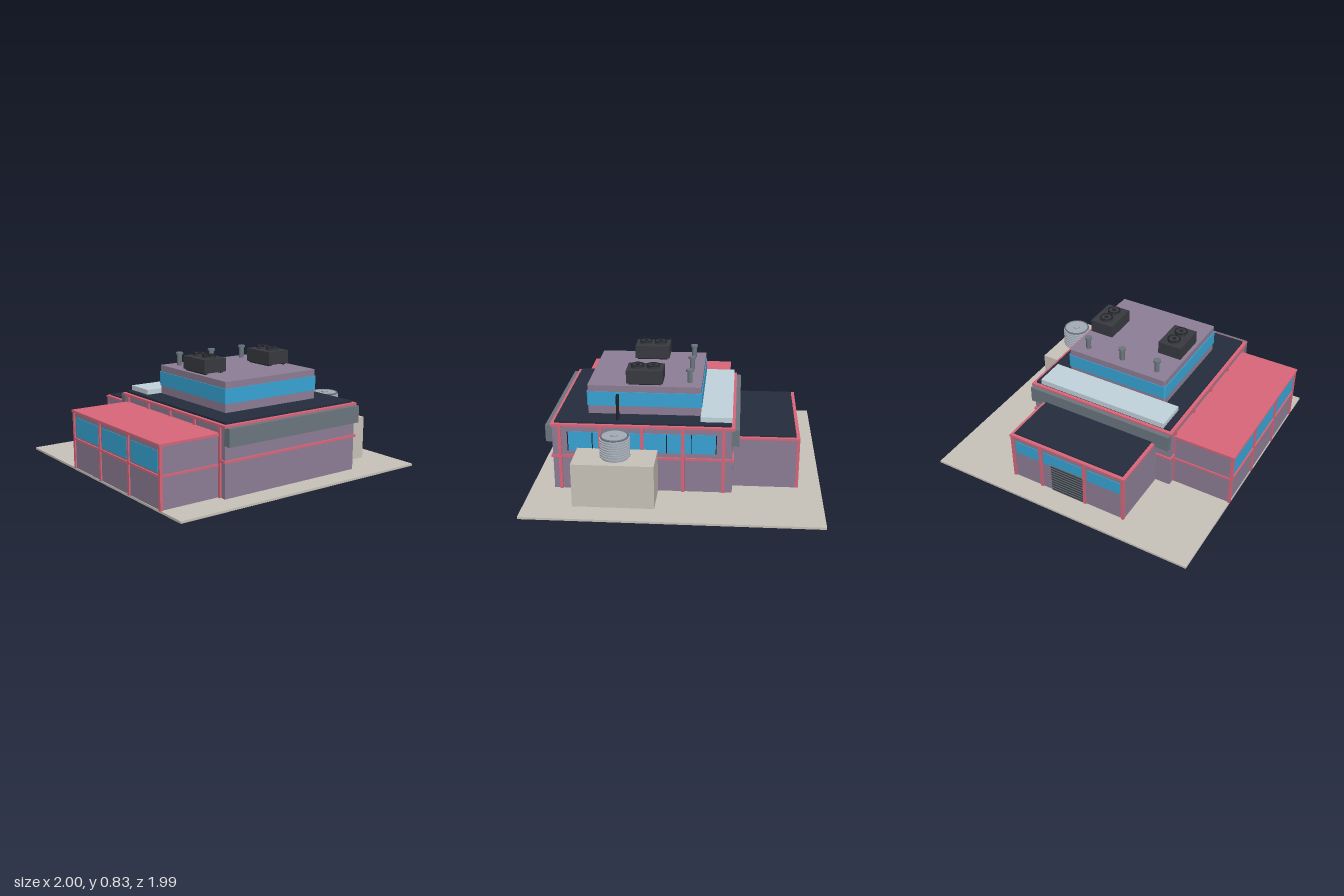
import * as THREE from 'three';

const mat = (color) => new THREE.MeshStandardMaterial({ color });

export function createModel() {
  const root = new THREE.Group();
  const wall = mat(0x8d7e96), red = mat(0xd9667a), navy = mat(0x252d3f), glass = mat(0x38a5d6);
  const slate = mat(0x6c767f), stone = mat(0xc8c2b9), dark = mat(0x383a40), pale = mat(0xc2d3dc);
  const steel = mat(0xa4abb5), black = mat(0x202328);

  // Box given by its extents on each axis
  function box(name, m, x0, x1, y0, y1, z0, z1, parent = root) {
    const mesh = new THREE.Mesh(new THREE.BoxGeometry(x1 - x0, y1 - y0, z1 - z0), m);
    mesh.position.set((x0 + x1) / 2, (y0 + y1) / 2, (z0 + z1) / 2);
    mesh.name = name;
    parent.add(mesh);
    return mesh;
  }
  function cyl(name, m, r, x, y0, y1, z, parent = root) {
    const mesh = new THREE.Mesh(new THREE.CylinderGeometry(r, r, y1 - y0, 24), m);
    mesh.position.set(x, (y0 + y1) / 2, z);
    mesh.name = name;
    parent.add(mesh);
    return mesh;
  }
  function group(name) {
    const g = new THREE.Group();
    g.name = name;
    root.add(g);
    return g;
  }

  box('ground', stone, -0.99, 1, 0, 0.015, -1, 0.99);

  // Main hall: walls, trim, coping and roof
  const hall = group('mainHall');
  box('hallWalls', wall, -0.55, 0.56, 0.015, 0.48, -0.39, 0.83, hall);
  box('hallBand', red, -0.56, 0.57, 0.249, 0.266, -0.4, 0.84, hall);
  box('hallCoping', red, -0.56, 0.57, 0.475, 0.492, -0.405, 0.84, hall);
  box('hallRoof', navy, -0.535, 0.545, 0.48, 0.506, -0.38, 0.815, hall);
  box('frontFascia', slate, -0.55, 0.56, 0.36, 0.478, 0.82, 0.875, hall);
  box('backFascia', slate, -0.55, 0.56, 0.36, 0.478, -0.435, -0.38, hall);
  for (const z of [0.78, 0.505, 0.22, -0.055, -0.33]) {
    box('sideColumn', red, 0.55, 0.572, 0.015, 0.48, z - 0.011, z + 0.011, hall);
    box('sideColumn', red, -0.562, -0.54, 0.015, 0.48, z - 0.011, z + 0.011, hall);
  }
  box('sideWindows', glass, 0.55, 0.564, 0.3, 0.437, -0.28, 0.725, hall);
  for (let i = 0; i <= 6; i++) {
    const z = -0.28 + i * 0.1675;
    box('mullion', black, 0.55, 0.567, 0.3, 0.437, z - 0.003, z + 0.003, hall);
  }

  // Side wing with red roof and three window bays
  const wing = group('sideWing');
  box('wingWalls', wall, -0.985, -0.55, 0.015, 0.425, -0.34, 0.77, wing);
  box('wingRoof', red, -1, -0.55, 0.418, 0.434, -0.35, 0.78, wing);
  box('wingBand', red, -0.995, -0.55, 0.222, 0.237, -0.348, 0.778, wing);
  const bays = [-0.337, 0.03, 0.4, 0.767];
  bays.forEach((z, i) => {
    box('wingColumn', red, -0.995, -0.975, 0.015, 0.42, z - 0.01, z + 0.01, wing);
    if (i < 3) box('wingWindow', glass, -0.989, -0.97, 0.25, 0.385, z + 0.03, bays[i + 1] - 0.025, wing);
  });

  // Rear annex with windows and louvred door
  const annex = group('rearAnnex');
  box('annexWalls', wall, -0.44, 0.45, 0.015, 0.375, -0.835, -0.38, annex);
  box('annexCoping', red, -0.45, 0.46, 0.368, 0.383, -0.845, -0.39, annex);
  box('annexRoof', navy, -0.425, 0.435, 0.375, 0.393, -0.82, -0.39, annex);
  const posts = [0.443, 0.215, -0.135, -0.433];
  posts.forEach((x, i) => {
    box('annexColumn', red, x - 0.01, x + 0.01, 0.015, 0.37, -0.845, -0.825, annex);
    if (i < 3) box('annexWindow', glass, posts[i + 1] + 0.02, x - 0.025, 0.235, 0.332, -0.839, -0.82, annex);
  });
  box('annexDoor', slate, -0.13, 0.13, 0.015, 0.245, -0.841, -0.82, annex);
  for (let i = 0; i < 10; i++) {
    const y = 0.025 + i * 0.0225;
    box('doorSlat', dark, -0.13, 0.13, y, y + 0.008, -0.844, -0.83, annex);
  }

  // Penthouse with rounded corners and a glass band
  const penthouse = group('penthouse');
  function roundedSlab(name, m, w, d, r, y0, y1) {
    const s = new THREE.Shape();
    const a = w / 2, b = d / 2;
    s.moveTo(-a + r, -b);
    s.lineTo(a - r, -b).absarc(a - r, -b + r, r, -Math.PI / 2, 0);
    s.absarc(a - r, b - r, r, 0, Math.PI / 2);
    s.absarc(-a + r, b - r, r, Math.PI / 2, Math.PI);
    s.absarc(-a + r, -b + r, r, Math.PI, Math.PI * 1.5);
    const geo = new THREE.ExtrudeGeometry(s, { depth: y1 - y0, bevelEnabled: false, curveSegments: 4 });
    geo.rotateX(-Math.PI / 2);
    const mesh = new THREE.Mesh(geo, m);
    mesh.position.set(0.005, y0, 0.22);
    mesh.name = name;
    penthouse.add(mesh);
  }
  roundedSlab('penthouseWalls', wall, 0.77, 0.78, 0.012, 0.5, 0.71);
  roundedSlab('penthouseGlass', glass, 0.782, 0.79, 0.012, 0.565, 0.665);
  box('rearSkylight', pale, -0.49, 0.5, 0.5, 0.54, -0.385, -0.17);

  // Rooftop cooling units with twin fans
  for (const x of [-0.272, 0.282]) {
    const unit = group('coolingUnit');
    box('unitBody', dark, x - 0.088, x + 0.088, 0.72, 0.812, 0.095, 0.345, unit);
    for (const dx of [-0.065, 0.065])
      box('unitFoot', black, x + dx - 0.012, x + dx + 0.012, 0.705, 0.722, 0.11, 0.33, unit);
    for (const z of [0.165, 0.273]) {
      cyl('fanShroud', dark, 0.046, x, 0.81, 0.83, z, unit);
      const rim = new THREE.Mesh(new THREE.TorusGeometry(0.042, 0.005, 6, 24), black);
      rim.rotation.x = Math.PI / 2;
      rim.position.set(x, 0.83, z);
      rim.name = 'fanRim';
      unit.add(rim);
      cyl('fanHub', black, 0.014, x, 0.81, 0.835, z, unit);
    }
  }

  // Vent pipes and exhaust stacks
  for (const x of [-0.272, 0.005, 0.282]) {
    cyl('ventPipe', slate, 0.018, x, 0.705, 0.79, -0.085);
    cyl('ventCap', slate, 0.026, x, 0.788, 0.802, -0.085);
  }
  for (const x of [0.474, 0.502]) cyl('exhaustStack', black, 0.009, x, 0.5, 0.68, 0.39);

  // Plant room with ribbed cooling tower
  box('plantRoom', stone, 0.56, 0.83, 0.015, 0.32, 0.115, 0.662);
  const tower = group('coolingTower');
  cyl('towerBody', steel, 0.09, 0.695, 0.32, 0.475, 0.385, tower);
  for (let i = 0; i < 8; i++) {
    const y = 0.335 + i * 0.017;
    cyl('towerRib', steel, 0.102, 0.695, y, y + 0.007, 0.385, tower);
  }
  const lip = new THREE.Mesh(new THREE.TorusGeometry(0.09, 0.006, 8, 32), slate);
  lip.rotation.x = Math.PI / 2;
  lip.position.set(0.695, 0.473, 0.385);
  lip.name = 'towerLip';
  tower.add(lip);
  cyl('towerHub', steel, 0.025, 0.695, 0.47, 0.484, 0.385, tower);

  return root;
}
